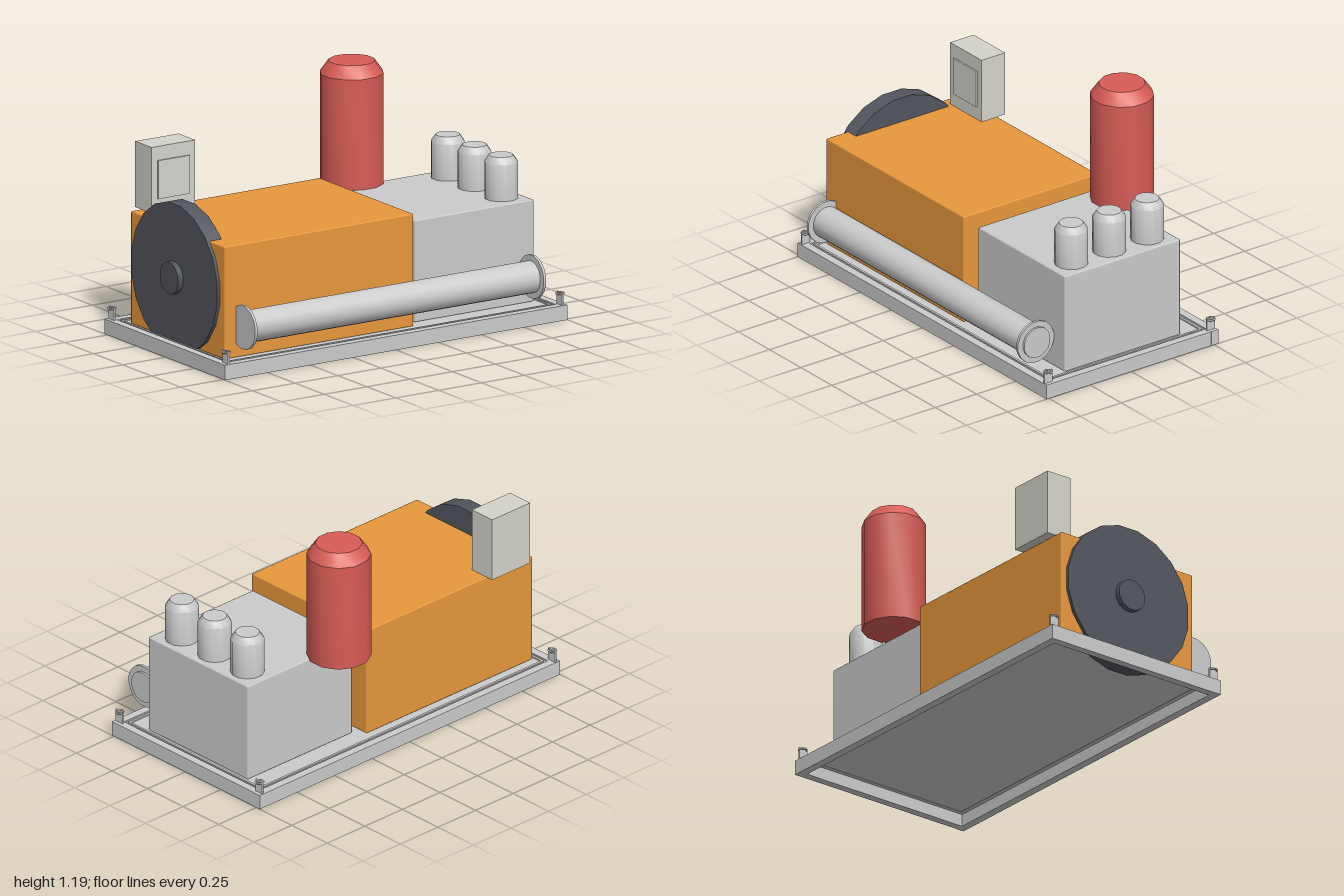
import * as THREE from 'three';
import { RoundedBoxGeometry } from 'three/addons/geometries/RoundedBoxGeometry.js';
import { toCreasedNormals } from 'three/addons/utils/BufferGeometryUtils.js';

const paint = (color) => new THREE.MeshStandardMaterial({ color });
const grey = paint(0xcccccc);
const orange = paint(0xe8983c);
const red = paint(0xd85c56);
const dark = paint(0x53565f);
const pale = paint(0xd4d4cc);

export function createModel() {
  const model = new THREE.Group();

  function add(name, geometry, material, x = 0, y = 0, z = 0) {
    const mesh = new THREE.Mesh(geometry, material);
    mesh.name = name;
    mesh.position.set(x, y, z);
    model.add(mesh);
    return mesh;
  }

  // Box given by its lower and upper corners, with an optional small rounded edge
  function box(name, material, [x0, y0, z0], [x1, y1, z1], bevel = 0) {
    const size = [x1 - x0, y1 - y0, z1 - z0];
    const geometry = bevel ? new RoundedBoxGeometry(...size, 1, bevel) : new THREE.BoxGeometry(...size);
    return add(name, geometry, material, (x0 + x1) / 2, (y0 + y1) / 2, (z0 + z1) / 2);
  }

  // Upright closed vessel with a chamfered top edge
  function vessel(name, material, radius, topRadius, shoulder, height, x, y, z) {
    const profile = [[0, 0], [radius, 0], [radius, shoulder], [topRadius, height], [0, height]]
      .map(([r, h]) => new THREE.Vector2(r, h));
    const geometry = new THREE.LatheGeometry(profile, 12, Math.PI / 12);
    add(name, toCreasedNormals(geometry, 0.6), material, x, y, z);
  }

  // Disc or tube lying along x
  function axle(name, material, radius, x0, x1, y, z, sides) {
    const geometry = new THREE.CylinderGeometry(radius, radius, x1 - x0, sides, 1, false, Math.PI / sides);
    geometry.rotateZ(Math.PI / 2);
    add(name, toCreasedNormals(geometry, 0.6), material, (x0 + x1) / 2, y, z);
  }

  // Skid: perimeter rails around a thin deck with a shallow lip
  const zBack = -0.525, zFront = 0.515, rail = 0.042;
  box('backRail', grey, [-1, 0, zBack], [1, 0.075, zBack + rail]);
  box('frontRail', grey, [-1, 0, zFront - rail], [1, 0.075, zFront]);
  for (const side of [-1, 1]) {
    const name = side < 0 ? 'rightRail' : 'leftRail';
    const inner = side * (1 - rail), outer = side * 0.999;
    box(name, grey, [Math.min(inner, outer), 0, zBack + rail], [Math.max(inner, outer), 0.075, zFront - rail]);
    box('deckLipEnd', grey, [side * 0.94 - 0.006, 0.06, zBack + 0.055], [side * 0.94 + 0.006, 0.074, zFront - 0.055]);
  }
  box('deck', grey, [-0.97, 0.062, zBack + 0.03], [0.97, 0.068, zFront - 0.03]);
  for (const z of [zBack + 0.061, zFront - 0.061]) {
    box('deckLipSide', grey, [-0.946, 0.06, z - 0.006], [0.946, 0.074, z + 0.006]);
  }

  // Lifting lugs: a thin plate carrying a flat ring at every corner
  for (const x of [-0.975, 0.975]) {
    for (const z of [zBack + 0.028, zFront - 0.028]) {
      box('liftingPlate', grey, [x - 0.005, 0.07, z - 0.024], [x + 0.005, 0.138, z + 0.024]);
      const ring = new THREE.TorusGeometry(0.019, 0.005, 6, 12);
      ring.rotateX(Math.PI / 2);
      add('liftingRing', ring, grey, x, 0.131, z);
    }
  }

  // Main housings
  box('engineHousing', orange, [-0.925, 0.066, -0.41], [0.18, 0.63, 0.4], 0.007);
  box('compressorHousing', grey, [0.223, 0.066, -0.356], [0.92, 0.577, 0.344], 0.007);

  // Flywheel with hub on the right-hand end
  axle('flywheel', dark, 0.374, -0.942, -0.856, 0.387, -0.01, 20);
  axle('flywheelHub', dark, 0.081, -0.972, -0.93, 0.39, -0.01, 12);

  // Control cabinet with a raised door panel
  box('controlCabinet', pale, [-0.87, 0.632, -0.452], [-0.617, 0.962, -0.31]);
  box('controlPanel', pale, [-0.835, 0.7, -0.312], [-0.652, 0.892, -0.302]);

  // Tall separator vessel and the row of small cylinders
  vessel('separatorVessel', red, 0.157, 0.114, 0.555, 0.615, 0.37, 0.575, -0.416);
  for (const z of [-0.237, -0.007, 0.223]) {
    vessel('compressorCylinder', grey, 0.083, 0.06, 0.188, 0.222, 0.81, 0.57, z);
  }

  // Cooler tube with an end flange on both ends
  axle('coolerTube', grey, 0.08, -0.85, 0.85, 0.23, 0.458, 16);
  for (const x of [-0.852, 0.833]) {
    axle('coolerFlange', grey, 0.11, x - 0.007, x + 0.007, 0.23, 0.458, 16);
  }

  return model;
}
